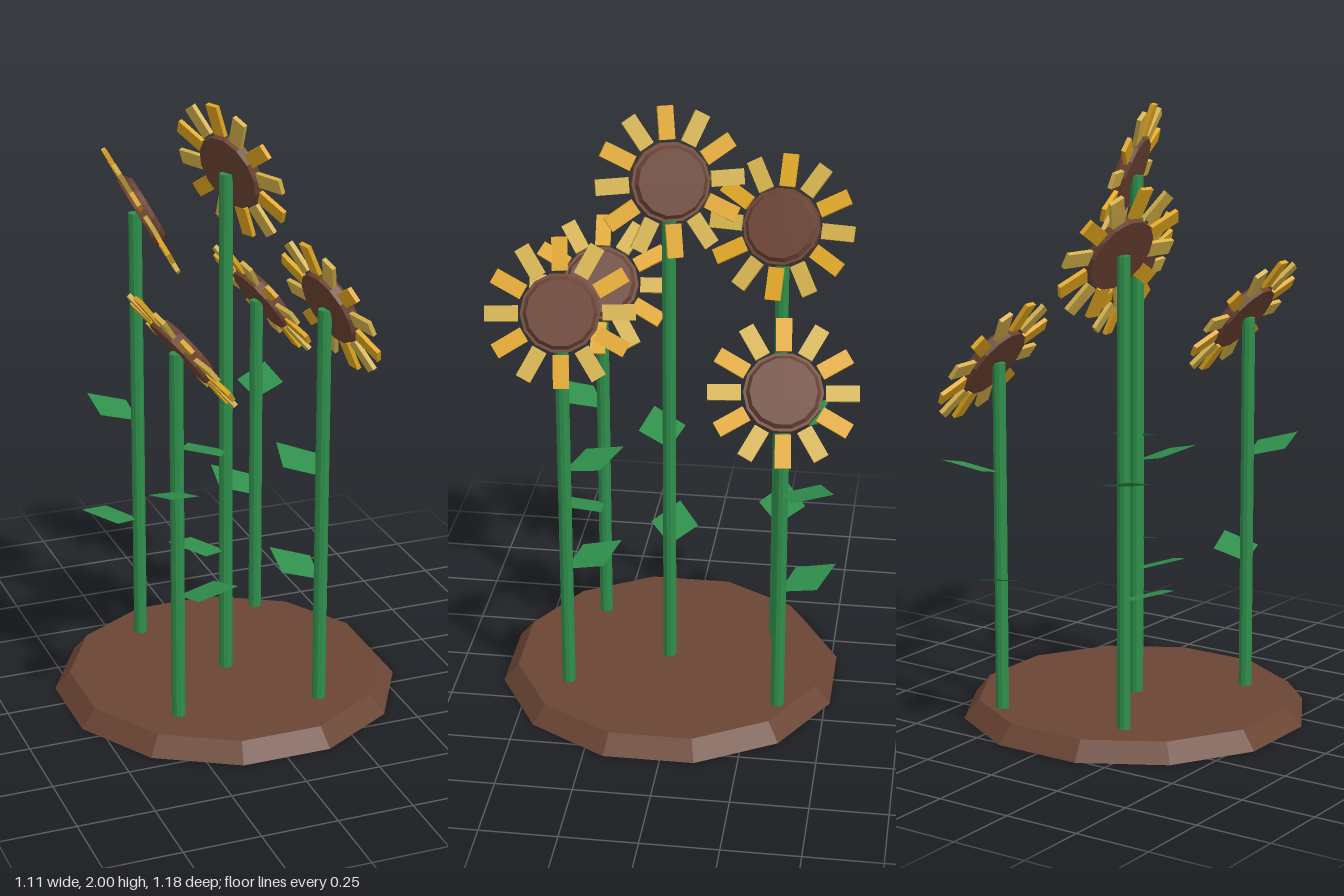
import * as THREE from 'three';

const mat = (name, color, extra = {}) => {
  const m = new THREE.MeshStandardMaterial({ color, flatShading: true, ...extra });
  m.name = name;
  return m;
};

export function createModel() {
  const soil = mat('soil brown', 0x6b4534);
  const seed = mat('seed brown', 0x6b4232);
  const green = mat('stem green', 0x2f8f4c);
  const leafGreen = mat('leaf green', 0x2f8f4c, { side: THREE.DoubleSide });
  const gold = mat('petal gold', 0xe3a820);
  const yellow = mat('petal yellow', 0xd6b34a);

  const model = new THREE.Group();
  const add = (parent, name, geo, material, x = 0, y = 0, z = 0) => {
    const m = new THREE.Mesh(geo, material);
    m.name = name;
    m.position.set(x, y, z);
    parent.add(m);
    return m;
  };

  // Twelve-sided mound of soil
  const base = add(model, 'soilBase', new THREE.CylinderGeometry(0.523, 0.573, 0.06, 12), soil, 0, 0.03, 0.037);
  base.rotation.y = Math.PI / 12;

  // Kite-shaped leaf pointing along +x and rising to its tip
  const leafGeo = new THREE.BufferGeometry();
  leafGeo.setAttribute('position', new THREE.Float32BufferAttribute(
    [0, 0, 0, 0.095, 0.028, 0.08, 0.2, 0.06, 0, 0.095, 0.028, -0.08], 3));
  leafGeo.setIndex([0, 1, 2, 0, 2, 3]);
  leafGeo.computeVertexNormals();

  const rimGeo = new THREE.CylinderGeometry(0.125, 0.125, 0.032, 14);
  const faceGeo = new THREE.CylinderGeometry(0.105, 0.116, 0.014, 14);
  const petalGeo = new THREE.BoxGeometry(0.105, 0.014, 0.05);

  // Flower head: seed disc facing +y with a ring of petals in two colours
  const makeHead = () => {
    const head = new THREE.Group();
    head.name = 'flowerHead';
    add(head, 'seedDisc', rimGeo, seed);
    add(head, 'seedDiscFace', faceGeo, seed, 0, 0.023);
    for (let k = 0; k < 12; k++) {
      const a = (k * Math.PI) / 6;
      const petal = add(head, 'petal', petalGeo, k % 2 ? yellow : gold,
        Math.cos(a) * 0.183, 0, Math.sin(a) * 0.183);
      petal.rotation.y = -a;
    }
    return head;
  };

  // Stem x, z, head height, tilt and yaw in degrees, lower and upper leaf directions (x, z)
  const flowers = [
    [-0.263, 0.305, 1.31, 52, 4, [0.8, 0.6], [-0.42, 0.9]],
    [-0.185, -0.3, 1.575, 61, -8, [-1, -0.06], [-0.63, -0.77]],
    [0, 0.043, 1.78, 71, 20, [-1, -0.04], [-0.92, 0.38]],
    [0.207, 0.355, 1.41, 66, 9, [-0.55, -0.83], [-0.42, -0.9]],
    [0.26, -0.35, 1.205, 54, 6, [-0.5, -0.86], [0.5, -0.86]],
  ];

  for (const [x, z, h, tilt, yaw, low, high] of flowers) {
    const flower = new THREE.Group();
    flower.name = 'flower';
    flower.position.set(x, 0, z);
    model.add(flower);

    const top = h - 0.005;
    add(flower, 'stem', new THREE.CylinderGeometry(0.022, 0.022, top - 0.05, 10), green, 0, (top + 0.05) / 2, 0);

    [[low, 0.485], [high, 0.845]].forEach(([dir, y]) => {
      const leaf = add(flower, 'leaf', leafGeo, leafGreen, 0, y, 0);
      leaf.rotation.y = Math.atan2(-dir[1], dir[0]);
    });

    const head = makeHead();
    const t = THREE.MathUtils.degToRad(tilt), w = THREE.MathUtils.degToRad(yaw);
    head.rotation.set(0, w, -t, 'YXZ');
    head.position.set(0.02 * Math.cos(w), h, -0.02 * Math.sin(w));
    flower.add(head);
  }
  return model;
}
